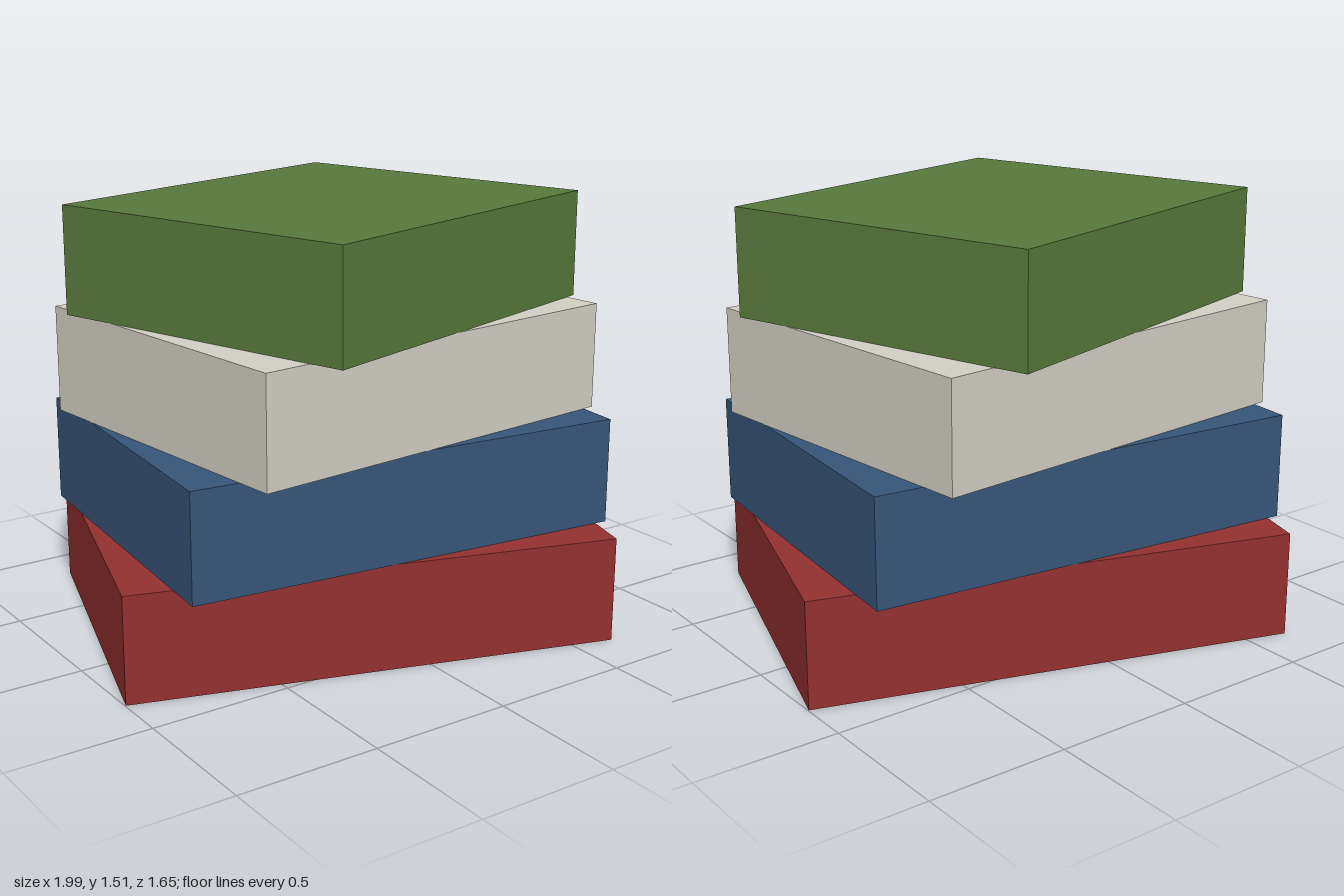
import * as THREE from 'three';

const HEIGHT = 0.3775;
const DEPTH = 1.19;

// Slabs from bottom to top: name, colour name, colour, width, turn about y
const SLABS = [
  ['bottomSlab', 'brick red', 0x943030, 1.72, -0.3],
  ['lowerSlab', 'navy blue', 0x375578, 1.6, -0.1],
  ['upperSlab', 'warm off-white', 0xd2cec3, 1.475, 0.1],
  ['topSlab', 'leaf green', 0x58793c, 1.35, 0.3],
];

export function createModel() {
  const model = new THREE.Group();
  model.name = 'twistedStack';

  // Each slab rests on the one below, narrower and turned further
  SLABS.forEach(([name, colorName, color, width, turn], i) => {
    const material = new THREE.MeshStandardMaterial({ color });
    material.name = colorName;
    const slab = new THREE.Mesh(new THREE.BoxGeometry(width, HEIGHT, DEPTH), material);
    slab.name = name;
    slab.position.y = HEIGHT * (i + 0.5);
    slab.rotation.y = turn;
    model.add(slab);
  });

  return model;
}
